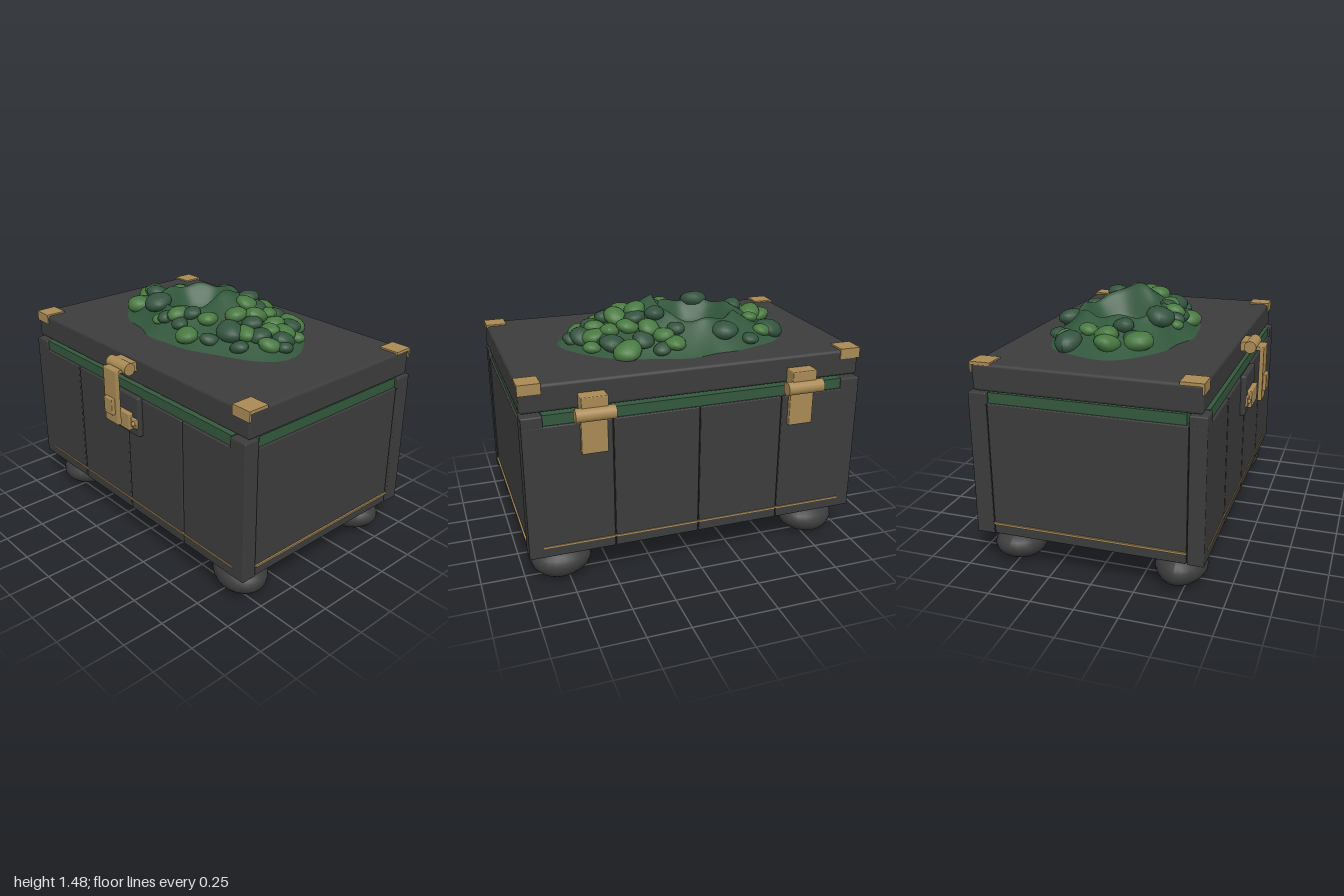
import * as THREE from 'three';
import { RoundedBoxGeometry } from 'three/addons/geometries/RoundedBoxGeometry.js';

const mat = (name, color, side = THREE.FrontSide) => {
  const m = new THREE.MeshStandardMaterial({ color, side });
  m.name = name;
  return m;
};

// Moss height field: a crater with a rim that is tallest on the +x side
const LID_TOP = 1.222, CX = -0.17, CZ = -0.08;
const smooth = (a, b, v) => THREE.MathUtils.smoothstep(v, a, b);
function outlineRadius(a) {
  // distance from the crater centre to the wavy oval edge of the moss
  const ox = 0.11, rx = 0.705, rz = 0.425, c = Math.cos(a), s = Math.sin(a);
  const A = (c * c) / (rx * rx) + (s * s) / (rz * rz);
  const B = (-2 * ox * c) / (rx * rx), C = (ox * ox) / (rx * rx) - 1;
  const r = (-B + Math.sqrt(B * B - 4 * A * C)) / (2 * A);
  return r * (1 + 0.025 * Math.sin(5 * a + 1) + 0.02 * Math.sin(9 * a));
}
function mossHeight(a, r) {
  const R = outlineRadius(a);
  const peak = Math.pow(Math.max(0, Math.cos(a)), 6);
  const rim = 0.165 + 0.095 * peak + 0.012 * Math.sin(7 * a);
  const rimR = 0.25;
  if (r < rimR) return LID_TOP + 0.03 + (rim - 0.03) * smooth(0.13, rimR + 0.01, r);
  const t = Math.min(1, (r - rimR) / (R - rimR));
  return LID_TOP - 0.004 + (rim + 0.004) * Math.pow(1 - t, 1.15);
}
function mossGeometry() {
  const seg = 72, rings = 26, pos = [], idx = [];
  for (let j = 0; j <= rings; j++) {
    for (let i = 0; i < seg; i++) {
      const a = (i / seg) * Math.PI * 2;
      const u = j / rings;
      const r = u < 0.5 ? u * 0.5 : 0.25 + (u - 0.5) * 2 * (outlineRadius(a) - 0.25);
      pos.push(CX + r * Math.cos(a), mossHeight(a, r), CZ + r * Math.sin(a));
      if (j < rings) {
        const p = j * seg + i, q = j * seg + ((i + 1) % seg);
        idx.push(p, q, p + seg, q, q + seg, p + seg);
      }
    }
  }
  const g = new THREE.BufferGeometry();
  g.setAttribute('position', new THREE.Float32BufferAttribute(pos, 3));
  g.setIndex(idx);
  g.computeVertexNormals();
  return g;
}

// Lumpy sphere used for feet and moss clumps
function lump(seed, amount, w = 20, h = 14) {
  const g = new THREE.SphereGeometry(1, w, h), p = g.attributes.position, v = new THREE.Vector3();
  for (let i = 0; i < p.count; i++) {
    v.fromBufferAttribute(p, i);
    const n = Math.sin(3.1 * v.x + seed) * Math.sin(2.7 * v.y + seed * 1.7) + Math.sin(3.7 * v.z + seed * 2.3) * 0.6;
    v.multiplyScalar(1 + amount * n);
    p.setXYZ(i, v.x, v.y, v.z);
  }
  g.computeVertexNormals();
  return g;
}

export function createModel() {
  const model = new THREE.Group();
  model.name = 'mossyChest';
  const charcoal = mat('charcoal', 0x3c3c3c);
  const seam = mat('seam', 0x202020);
  const brass = mat('brass', 0xa98a55);
  const moss = mat('moss', 0x33583d);
  const mossSheet = mat('mossSheet', 0x33583d, THREE.DoubleSide);
  const leaf = mat('leafGreen', 0x487840);
  const deep = mat('deepGreen', 0x34543f);

  const add = (name, geo, material, x = 0, y = 0, z = 0) => {
    const m = new THREE.Mesh(geo, material);
    m.name = name;
    m.position.set(x, y, z);
    model.add(m);
    return m;
  };
  // Box given by its limits on each axis, optionally rounded
  const box = (name, m, x0, x1, y0, y1, z0, z1, r = 0) => {
    const s = [x1 - x0, y1 - y0, z1 - z0];
    const g = r ? new RoundedBoxGeometry(...s, 2, r) : new THREE.BoxGeometry(...s);
    return add(name, g, m, (x0 + x1) / 2, (y0 + y1) / 2, (z0 + z1) / 2);
  };
  const rod = (name, m, r, len, x, y, z) => {
    const c = add(name, new THREE.CylinderGeometry(r, r, len, 24), m, x, y, z);
    c.rotation.z = Math.PI / 2;
    return c;
  };

  // Body: dark core, four planks front and back, one panel per side
  box('bodyCore', seam, -0.975, 0.975, 0.225, 0.995, -0.675, 0.625);
  box('plinth', charcoal, -0.91, 0.91, 0.185, 0.225, -0.59, 0.54, 0.01);
  const edges = [-0.99, -0.497, 0, 0.497, 0.99];
  for (let i = 0; i < 4; i++) {
    const a = edges[i] + (i ? 0.003 : 0), b = edges[i + 1] - (i < 3 ? 0.003 : 0);
    box('frontPlank', charcoal, a, b, 0.22, 1.0, 0.543, 0.637, 0.006);
    box('backPlank', charcoal, a, b, 0.22, 1.0, -0.687, -0.586, 0.006);
  }
  for (const s of [-1, 1]) {
    const side = (x0, x1) => (s > 0 ? [x0, x1] : [-x1, -x0]);
    box('sidePanel', charcoal, ...side(0.9, 0.984), 0.22, 1.0, -0.58, 0.537, 0.006);
    box('sideTrim', brass, ...side(0.98, 0.994), 0.279, 0.291, -0.58, 0.54);
    box('sideSeal', moss, ...side(0.89, 0.972), 0.99, 1.06, -0.575, 0.525);
    // Raised corner blocks under the lid
    box('frontCornerBlock', charcoal, ...side(0.875, 0.99), 0.99, 1.06, 0.54, 0.637, 0.008);
    box('backCornerBlock', charcoal, ...side(0.875, 0.99), 0.99, 1.06, -0.687, -0.58, 0.008);
  }
  box('frontTrim', brass, -0.91, 0.91, 0.279, 0.289, 0.63, 0.642);
  box('backTrim', brass, -0.91, 0.91, 0.279, 0.289, -0.692, -0.68);
  box('frontSeal', moss, -0.875, 0.875, 0.99, 1.06, 0.545, 0.622);
  box('backSeal', moss, -0.875, 0.875, 0.99, 1.06, -0.672, -0.585);

  // Lid with brass corner caps
  box('lid', charcoal, -0.99, 0.99, 1.068, 1.224, -0.655, 0.612, 0.018);
  for (const s of [-1, 1]) {
    const [x0, x1] = s > 0 ? [0.87, 0.994] : [-0.994, -0.87];
    box('frontCapTop', brass, x0, x1, 1.215, 1.233, 0.49, 0.617);
    box('frontCapFlange', brass, x0, x1, 1.172, 1.233, 0.606, 0.617);
    box('backCapTop', brass, x0, x1, 1.215, 1.233, -0.661, -0.54);
    box('backCapFlange', brass, x0, x1, 1.172, 1.233, -0.661, -0.65);
  }

  // Lumpy feet
  let seed = 1;
  for (const x of [-0.79, 0.787]) for (const z of [0.462, -0.51]) {
    add('foot', lump(seed++, 0.035), charcoal, x, 0.103, z).scale.set(0.172, 0.098, 0.147);
  }

  // Front latch
  box('latchBackplate', charcoal, -0.148, 0.148, 0.77, 1.018, 0.63, 0.667, 0.012);
  box('latchKeeper', brass, -0.14, 0.14, 0.825, 0.885, 0.66, 0.68, 0.005);
  box('latchCatch', brass, -0.092, 0.092, 0.805, 0.91, 0.66, 0.695, 0.006);
  for (const x of [-0.117, 0.117]) {
    add('latchScrew', new THREE.SphereGeometry(0.014, 12, 8), brass, x, 0.855, 0.682);
  }
  box('latchMount', brass, -0.075, 0.075, 1.15, 1.205, 0.605, 0.67);
  rod('latchBarrel', brass, 0.036, 0.18, 0, 1.178, 0.67);
  box('latchArm', brass, -0.06, 0.06, 1.155, 1.178, 0.67, 0.746, 0.004);
  box('latchStrap', brass, -0.062, 0.062, 0.845, 1.178, 0.722, 0.748, 0.006);
  box('latchTab', brass, -0.04, 0.04, 0.905, 1.005, 0.74, 0.768, 0.005);

  // Back hinges
  for (const x of [-0.607, 0.607]) {
    rod('hingeBarrel', brass, 0.038, 0.22, x, 1.06, -0.733);
    box('hingeUpperLeaf', brass, x - 0.073, x + 0.073, 1.06, 1.155, -0.738, -0.65, 0.005);
    box('hingeLowerLeaf', brass, x - 0.073, x + 0.073, 0.825, 1.06, -0.715, -0.685, 0.005);
  }

  // Moss mound with its crater
  add('mossMound', mossGeometry(), mossSheet);

  // Moss clumps on the mound: x, z, radius in hundredths
  const leafClumps = [
    [-53, -31, 5], [-51, -17, 5], [-63, -2, 7], [-57, -4, 7], [-53, 13, 8], [-18, 25, 4], [-6, 20, 6], [9, 26, 7],
    [5, -41, 6], [10, -35, 6], [32, -38, 8], [17, -28, 6], [27, -21, 6], [37, -17, 6], [46, -16, 7],
    [20, -11, 6], [31, -8, 7], [43, -7, 6], [25, 2, 6], [38, 6, 6], [52, 1, 6], [12, 12, 6], [49, -24, 5],
  ];
  const deepClumps = [
    [-60, -26, 8], [-42, -39, 5], [-26, -38, 7], [-48, 3, 6], [-52, 9, 5], [-28, 18, 8], [-13, 23, 5], [-1, 23, 5],
    [1, 15, 5], [2, -33, 5], [13, -42, 5], [22, -34, 6], [38, -29, 7], [11, -21, 6], [22, -17, 6], [41, -22, 5],
    [52, -10, 7], [35, -1, 6], [44, 1, 6], [30, 11, 8], [22, 20, 5], [57, -6, 5], [41, 14, 5],
  ];
  const placeClumps = (list, name, material) => list.forEach(([px, pz, pr], i) => {
    const x = px / 100, z = pz / 100, r = pr / 100;
    const a = Math.atan2(z - CZ, x - CX), d = Math.hypot(x - CX, z - CZ);
    const m = add(name, lump(i * 1.9 + 0.5, 0.06, 16, 10), material, x, mossHeight(a, d) + r * 0.2, z);
    m.scale.set(r * 1.12, r * 0.68, r);
    m.rotation.set(0.25 * Math.sin(a), i * 1.3, -0.25 * Math.cos(a));
  });
  placeClumps(leafClumps, 'leafClump', leaf);
  placeClumps(deepClumps, 'deepClump', deep);

  return model;
}
